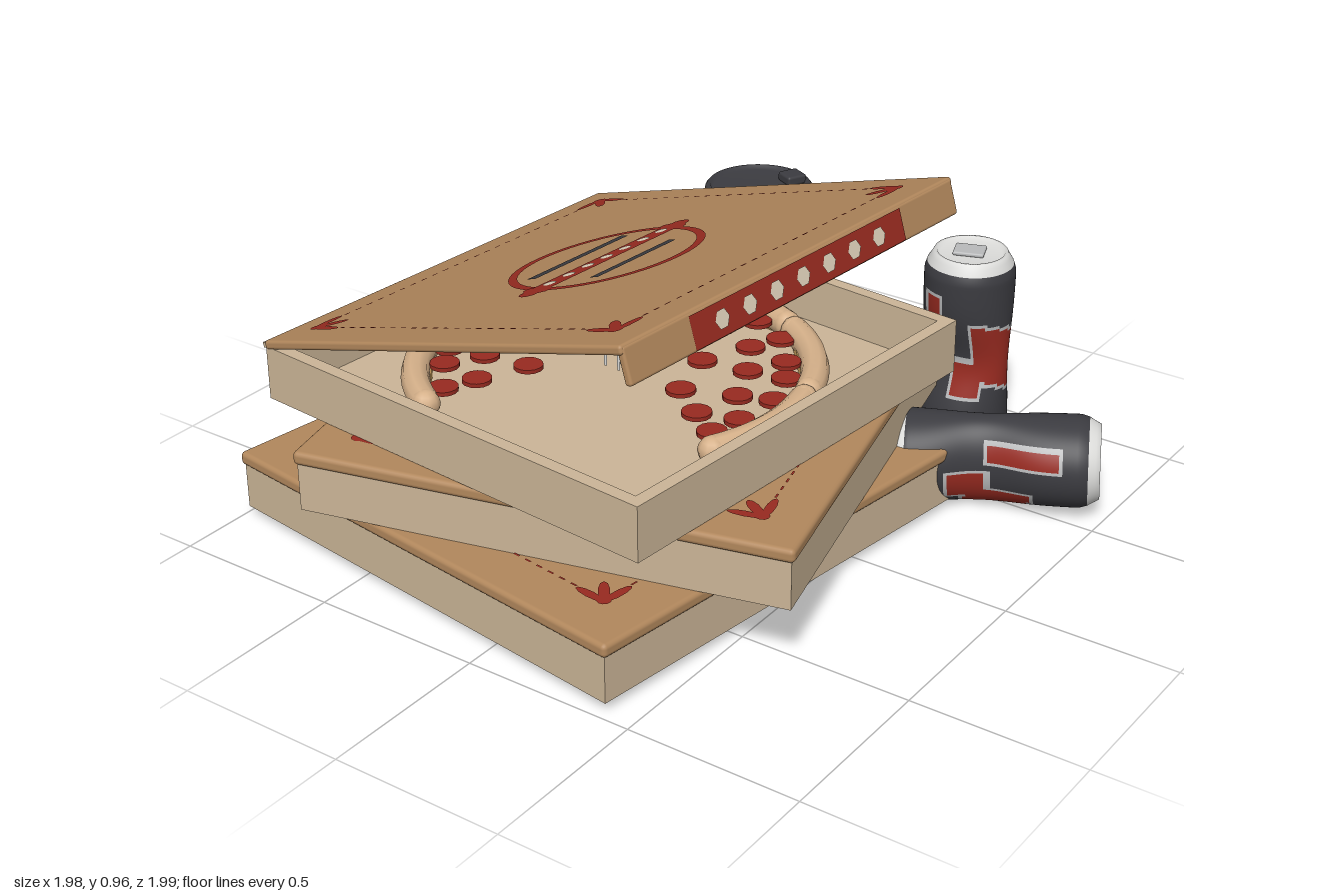
import * as THREE from 'three';
import { mergeGeometries } from 'three/addons/utils/BufferGeometryUtils.js';
import { RoundedBoxGeometry } from 'three/addons/geometries/RoundedBoxGeometry.js';

const mat = (name, color, side = THREE.FrontSide) => {
  const m = new THREE.MeshStandardMaterial({ color, side });
  m.name = name;
  return m;
};

export function createModel() {
  const kraft = mat('kraft', 0xb1875c);
  const card = mat('pale cardboard', 0xcbb597);
  const red = mat('print red', 0x972a20, THREE.DoubleSide);
  const ink = mat('charcoal', 0x3b3b40, THREE.DoubleSide);
  const dotCream = mat('cream print', 0xdccfb8, THREE.DoubleSide);
  const white = mat('off white', 0xdcdcda, THREE.DoubleSide);
  const silver = mat('silver', 0xb9babb);
  const sleeveTan = mat('sleeve tan', 0xd0b18b);
  const cheese = mat('cheese', 0xe0b36a);
  const crust = mat('crust', 0xd6b18a);

  const root = new THREE.Group();
  const group = (name, parent, x = 0, y = 0, z = 0) => {
    const g = new THREE.Group();
    g.name = name;
    g.position.set(x, y, z);
    parent.add(g);
    return g;
  };
  const add = (name, parent, geo, material, x = 0, y = 0, z = 0) => {
    const m = new THREE.Mesh(geo, material);
    m.name = name;
    m.position.set(x, y, z);
    parent.add(m);
    return m;
  };

  // Flat printed pieces, facing up
  const plate = (x, z, w, d) => new THREE.PlaneGeometry(w, d).rotateX(-Math.PI / 2).translate(x, 0, z);
  const leaf = (x, z, rx, rz, turn = 0) =>
    new THREE.CircleGeometry(1, 10).rotateX(-Math.PI / 2).scale(rx, 1, rz).rotateY(turn).translate(x, 0, z);

  // Printed lid artwork: border, corners, round emblem
  function printLid(parent, y, z) {
    const art = group('lidPrint', parent, 0, y, z);
    const border = [], corners = [];
    for (let i = -11; i <= 11; i++) for (const s of [-1, 1]) {
      border.push(plate(i * 0.042, s * 0.57, 0.02, 0.006), plate(s * 0.57, i * 0.042, 0.006, 0.02));
    }
    for (const sx of [-1, 1]) for (const sz of [-1, 1]) {
      corners.push(
        leaf(sx * 0.525, sz * 0.575, 0.05, 0.014), leaf(sx * 0.575, sz * 0.525, 0.014, 0.05),
        leaf(sx * 0.54, sz * 0.54, 0.045, 0.016, sx * sz * -Math.PI / 4), leaf(sx * 0.57, sz * 0.57, 0.02, 0.02));
    }
    add('borderDashes', art, mergeGeometries(border), red);
    add('cornerOrnaments', art, mergeGeometries(corners), red);
    add('emblemRing', art, new THREE.RingGeometry(0.25, 0.275, 48).rotateX(-Math.PI / 2), red);
    const band = [plate(0, 0, 0.6, 0.06)];
    for (const s of [-1, 1]) band.push(leaf(s * 0.275, 0, 0.03, 0.045), leaf(s * 0.305, 0, 0.028, 0.028));
    add('emblemBand', art, mergeGeometries(band), red, 0, 0.001);
    const dots = [];
    for (let i = -3; i <= 3; i++) dots.push(leaf(i * 0.075, 0, 0.02, 0.017));
    add('emblemDots', art, mergeGeometries(dots), dotCream, 0, 0.003);
    add('emblemBars', art, mergeGeometries([plate(0.01, -0.118, 0.38, 0.028), plate(-0.01, 0.112, 0.32, 0.026)]), ink);
  }

  // Closed boxes
  function closedBox(name, x, z, turn, size, y0, y1, y2) {
    const g = group(name, root, x, 0, z);
    g.rotation.y = turn;
    add('tray', g, new THREE.BoxGeometry(size - 0.02, y1 - y0, size - 0.02), card, 0, (y0 + y1) / 2);
    add('lid', g, new RoundedBoxGeometry(size, y2 - y1, size, 2, 0.014), kraft, 0, (y1 + y2) / 2);
    printLid(g, y2 + 0.003, 0);
  }
  closedBox('bottomBox', -0.18, -0.185, -0.14, 1.434, 0.035, 0.17, 0.21);
  closedBox('middleBox', -0.09, -0.13, 0.244, 1.4, 0.21, 0.348, 0.388);

  // Open box: hollow tray
  const open = group('openBox', root, -0.14, 0, -0.17);
  open.rotation.y = -0.088;
  const square = (P, h) => new P().moveTo(-h, -h).lineTo(h, -h).lineTo(h, h).lineTo(-h, h).closePath();
  const wall = square(THREE.Shape, 0.67);
  wall.holes.push(square(THREE.Path, 0.632));
  add('trayWalls', open,
    new THREE.ExtrudeGeometry(wall, { depth: 0.158, bevelEnabled: false }).rotateX(-Math.PI / 2), card, 0, 0.39);
  add('trayFloor', open, new THREE.BoxGeometry(1.27, 0.02, 1.27), card, 0, 0.4);

  // Raised lid with front flap
  const lid = group('raisedLid', open, 0, 0.55, -0.67);
  lid.rotation.x = -0.3;
  add('lidPanel', lid, new RoundedBoxGeometry(1.35, 0.026, 1.36, 2, 0.009), kraft, 0, 0.002, 0.68);
  add('hingeStrip', lid, new THREE.BoxGeometry(1.34, 0.016, 0.012), card, 0, 0.002, -0.004);
  add('frontFlap', lid, new RoundedBoxGeometry(1.34, 0.1, 0.022, 2, 0.008), kraft, 0, -0.04, 1.351);
  printLid(lid, 0.018, 0.68);
  add('flapBand', lid, new THREE.PlaneGeometry(0.86, 0.088), red, -0.005, -0.041, 1.365);
  for (let i = -3; i <= 3; i++)
    add('flapDot', lid, new THREE.CircleGeometry(0.027, 6), dotCream, i * 0.107 - 0.005, -0.041, 1.368);

  // Pizza: six of eight slices left
  const pizza = group('pizza', open, 0, 0.41, 0);
  const step = Math.PI / 4;
  const wedge = new THREE.Shape().moveTo(0, 0).absarc(0, 0, 0.52, -step / 2 + 0.03, step / 2 - 0.03, false).closePath();
  const wedgeGeo = new THREE.ExtrudeGeometry(wedge, { depth: 0.035, bevelEnabled: false, curveSegments: 8 }).rotateX(Math.PI / 2);
  const arc = step - 0.06;
  const crustGeo = new THREE.TorusGeometry(0.53, 0.04, 10, 10, arc).rotateZ(-arc / 2).rotateX(Math.PI / 2);
  const toppings = [[0.22, 0], [0.34, 0.08], [0.36, -0.08], [0.45, 0.03], [0.45, -0.13], [0.44, 0.14]];
  for (let i = 0; i < 6; i++) {
    const slice = group('slice', pizza);
    slice.rotation.y = -(-2.75 + step * (i + 0.5)) - 0.02;
    slice.translateX(0.02);
    add('cheese', slice, wedgeGeo, cheese, 0, 0.04);
    add('crustEdge', slice, crustGeo, crust, 0, 0.038);
    for (const s of [-1, 1])
      add('crustEnd', slice, new THREE.SphereGeometry(0.04, 10, 8), crust,
        0.53 * Math.cos(arc / 2), 0.038, s * 0.53 * Math.sin(arc / 2));
    for (const [x, z] of toppings)
      add('pepperoni', slice, new THREE.CylinderGeometry(0.042, 0.042, 0.012, 14), red, x, 0.046, z * 0.9);
  }
  add('pizzaStandTop', pizza, new THREE.CylinderGeometry(0.04, 0.04, 0.01, 16), white, 0, 0.115);
  for (let i = 0; i < 3; i++)
    add('pizzaStandLeg', pizza, new THREE.CylinderGeometry(0.006, 0.004, 0.075, 6), white,
      0.028 * Math.cos(i * 2.094), 0.075, 0.028 * Math.sin(i * 2.094));

  // Coffee cup
  const lathe = pts => new THREE.LatheGeometry(pts.map(p => new THREE.Vector2(...p)), 40);
  const cup = group('coffeeCup', root, 0.81, 0, -0.33);
  add('cupBody', cup, lathe([[0, 0.05], [0.115, 0.05], [0.12, 0.035], [0.126, 0.035], [0.165, 0.56]]), white);
  add('cupSleeve', cup, lathe([[0.139, 0.2], [0.144, 0.2], [0.161, 0.42], [0.155, 0.42]]), sleeveTan);
  add('cupLid', cup, lathe([[0.164, 0.545], [0.174, 0.547], [0.179, 0.56], [0.177, 0.578], [0.168, 0.584], [0.17, 0.59],
    [0.165, 0.618], [0.158, 0.627], [0.148, 0.627], [0.142, 0.615], [0, 0.615]]), ink);
  const tab = add('sipTab', cup, new RoundedBoxGeometry(0.065, 0.03, 0.065, 2, 0.008), ink, 0.1, 0.628, 0.055);
  tab.rotation.y = -0.45;

  // Dented drink can, coloured cell by cell from a label rule
  const profile = [[0, 0.03], [0.08, 0.03], [0.095, 0.003], [0.106, 0], [0.122, 0.02], [0.131, 0.045]];
  for (let y = 0.055; y < 0.53; y += 0.01) profile.push([0.132, y]);
  profile.push([0.131, 0.535], [0.125, 0.555], [0.113, 0.575], [0.106, 0.588], [0.098, 0.588], [0.09, 0.577], [0, 0.58]);
  const label = (t, y) => {
    const s = Math.abs(t) * 0.132;
    const rect = (s0, y0, w, h) => Math.max(Math.abs(s - s0) - w, Math.abs(y - y0) - h);
    return Math.min(rect(0, 0.28 - 0.03 * Math.sin(t), 0.135, 0.09), rect(0.155, 0.22, 0.04, 0.05), rect(0.262, 0.375, 0.026, 0.1));
  };
  function canGeometry() {
    const N = 96, pos = [], buckets = [[], [], [], []];
    for (const [r, y] of profile) for (let i = 0; i < N; i++) {
      const t = (i / N) * Math.PI * 2 - Math.PI;
      const pinch = 1 - 0.36 * Math.exp(-(((y - 0.26) / 0.12) ** 2));
      pos.push(r * Math.sin(t) * pinch, y, r * Math.cos(t));
    }
    for (let j = 0; j < profile.length - 1; j++) for (let i = 0; i < N; i++) {
      const y = (profile[j][1] + profile[j + 1][1]) / 2, d = label(((i + 0.5) / N) * Math.PI * 2 - Math.PI, y);
      const k = y < 0.035 || y > 0.55 ? 1 : d < 0 ? 2 : d < 0.011 ? 3 : 0;
      const a = j * N + i, b = j * N + (i + 1) % N;
      buckets[k].push(a, b, b + N, a, b + N, a + N);
    }
    const g = new THREE.BufferGeometry();
    g.setAttribute('position', new THREE.Float32BufferAttribute(pos, 3));
    g.setIndex(buckets.flat());
    let start = 0;
    buckets.forEach((b, k) => { g.addGroup(start, b.length, k); start += b.length; });
    g.computeVertexNormals();
    return g;
  }
  const canGeo = canGeometry(), canMats = [ink, white, red, silver];
  const standing = group('standingCan', root, 0.77, 0.03, 0.43);
  add('canBody', standing, canGeo, canMats);
  const pull = add('pullTab', standing, new RoundedBoxGeometry(0.07, 0.012, 0.09, 2, 0.005), silver, 0, 0.585, -0.005);
  pull.rotation.y = 0.35;

  const fallen = group('fallenCan', root, 0.365, 0.135, 0.425);
  const axis = new THREE.Vector3(0.43, 0.04, 0.9).normalize();
  const across = new THREE.Vector3(0.9, 0, -0.43).normalize();
  fallen.quaternion.setFromRotationMatrix(
    new THREE.Matrix4().makeBasis(across, axis, new THREE.Vector3().crossVectors(across, axis)));
  add('canBody', fallen, canGeo, canMats);
  add('canRivet', fallen, new THREE.CylinderGeometry(0.009, 0.009, 0.008, 12), ink, 0, 0.581);

  return root;
}
